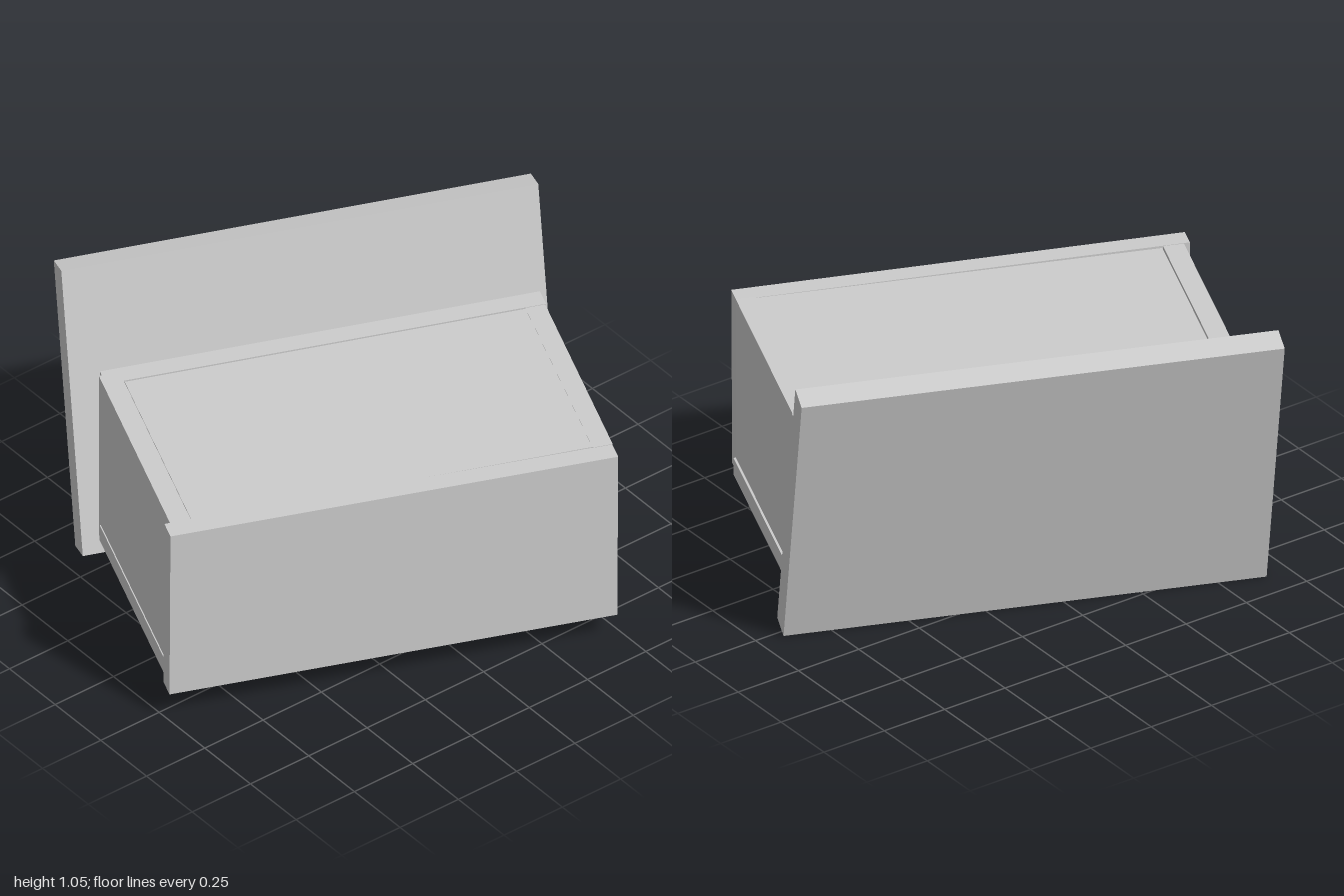
import * as THREE from 'three';

const grey = new THREE.MeshStandardMaterial({ color: 0xcccccc });
grey.name = 'plainGrey';

// Board given by its extents along x, y and z
function board(name, [x0, x1], [y0, y1], [z0, z1]) {
  const mesh = new THREE.Mesh(new THREE.BoxGeometry(x1 - x0, y1 - y0, z1 - z0), grey);
  mesh.position.set((x0 + x1) / 2, (y0 + y1) / 2, (z0 + z1) / 2);
  mesh.name = name;
  return mesh;
}

export function createModel() {
  const model = new THREE.Group();
  model.name = 'boxWithLeaningPanel';

  // Closed box made of six boards
  const box = new THREE.Group();
  box.name = 'box';
  const front = board('frontBoard', [-0.815, 0.762], [0.108, 0.783], [0.578, 0.65]);
  front.rotation.z = -0.005;
  box.add(
    front,
    board('backBoard', [-0.782, 0.768], [0.103, 0.783], [-0.293, -0.221]),
    board('rightEnd', [-0.793, -0.72], [0.105, 0.785], [-0.268, 0.58]),
    board('leftEnd', [0.695, 0.765], [0.105, 0.781], [-0.225, 0.58]),
    board('bottomBoard', [-0.797, 0.773], [0.1, 0.165], [-0.245, 0.58]),
    board('topBoard', [-0.717, 0.7], [0.715, 0.78], [-0.218, 0.575])
  );

  // Large panel leaning back behind the box
  const panel = new THREE.Mesh(new THREE.BoxGeometry(1.68, 1.061, 0.092), grey);
  panel.name = 'leaningPanel';
  panel.position.set(-0.009, 0.529, -0.442);
  panel.rotation.x = -0.243;

  // Both parts are turned together about the vertical
  const turned = new THREE.Group();
  turned.name = 'turnedAssembly';
  turned.rotation.y = -0.376;
  turned.add(box, panel);
  model.add(turned);
  return model;
}
